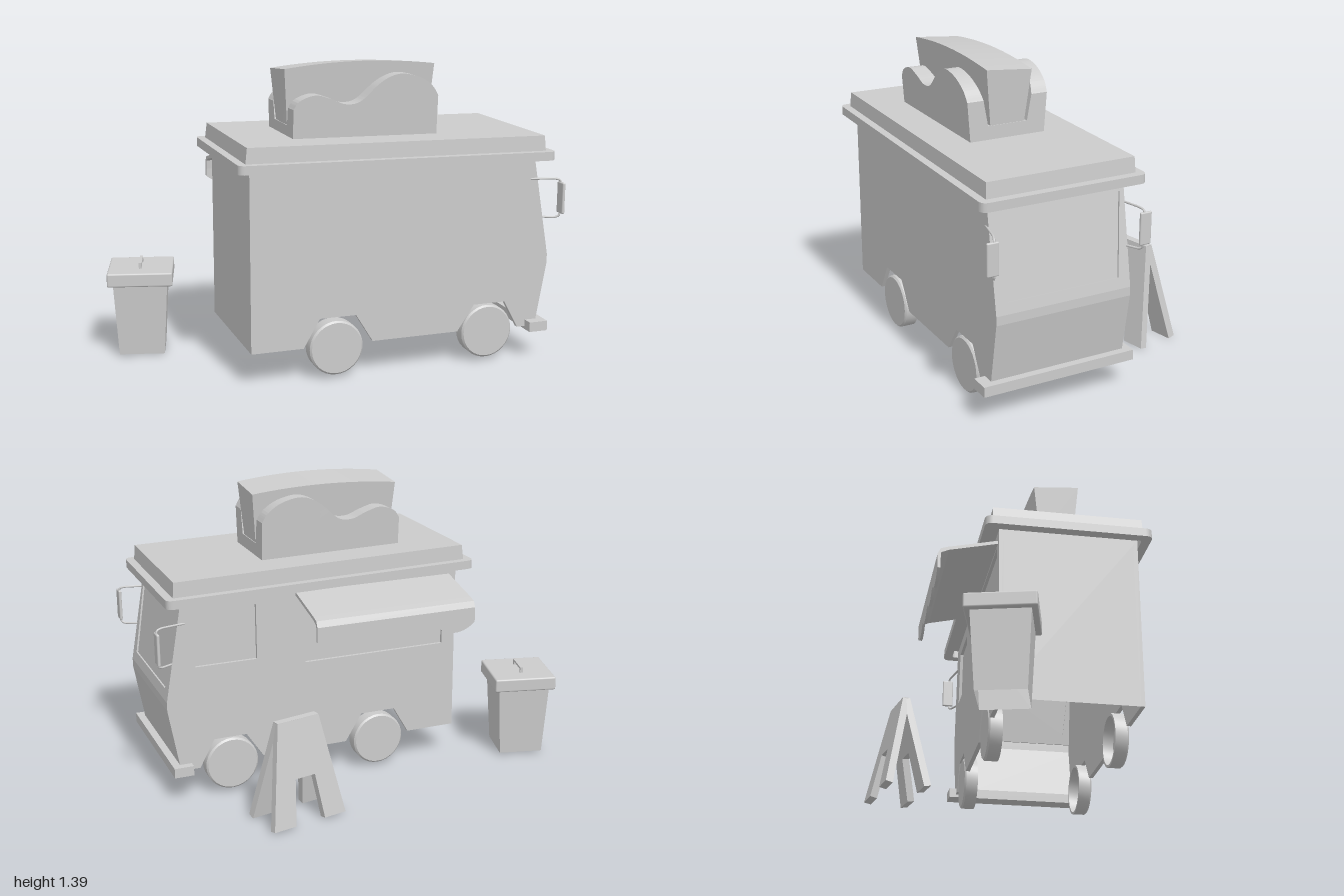
import * as THREE from 'three';
import { toCreasedNormals } from 'three/addons/utils/BufferGeometryUtils.js';
import { RoundedBoxGeometry } from 'three/addons/geometries/RoundedBoxGeometry.js';

const mat = new THREE.MeshStandardMaterial({ color: 0xcccccc, side: THREE.DoubleSide });
const ZC = 0.205, HALF = 0.32; // truck centre line and half width

function add(parent, name, geo, x = 0, y = 0, z = 0) {
  const m = new THREE.Mesh(geo, mat);
  m.name = name;
  m.position.set(x, y, z);
  parent.add(m);
  return m;
}
function group(parent, name, x = 0, y = 0, z = 0) {
  const g = new THREE.Group();
  g.name = name;
  g.position.set(x, y, z);
  parent.add(g);
  return g;
}
const poly = (pts) => new THREE.Shape(pts.map(([x, y]) => new THREE.Vector2(x, y)));
const extrude = (shape, depth) =>
  new THREE.ExtrudeGeometry(shape, { depth, bevelEnabled: false, curveSegments: 16 });

// Move every vertex by a rule
function bend(geo, rule) {
  const p = geo.attributes.position, v = new THREE.Vector3();
  for (let i = 0; i < p.count; i++) {
    v.fromBufferAttribute(p, i);
    rule(v);
    p.setXYZ(i, v.x, v.y, v.z);
  }
  geo.computeVertexNormals();
  return toCreasedNormals(geo, 0.5);
}

// Strip of flat panels following an x/y outline, spanning z0 to z1
function strip(pts, z0, z1) {
  const pos = [];
  for (let i = 0; i < pts.length - 1; i++) {
    const [a, b] = [pts[i], pts[i + 1]];
    pos.push(...a, z0, ...a, z1, ...b, z1, ...a, z0, ...b, z1, ...b, z0);
  }
  const g = new THREE.BufferGeometry();
  g.setAttribute('position', new THREE.Float32BufferAttribute(pos, 3));
  g.computeVertexNormals();
  return g;
}

function roundedRect(w, h, r) {
  const s = new THREE.Shape(), x = w / 2, y = h / 2;
  s.moveTo(-x + r, -y);
  s.lineTo(x - r, -y); s.quadraticCurveTo(x, -y, x, -y + r);
  s.lineTo(x, y - r); s.quadraticCurveTo(x, y, x - r, y);
  s.lineTo(-x + r, y); s.quadraticCurveTo(-x, y, -x, y - r);
  s.lineTo(-x, -y + r); s.quadraticCurveTo(-x, -y, -x + r, -y);
  return s;
}

function buildBody(root) {
  const g = group(root, 'body');
  const side = [[-0.475, 0.15], [-0.235, 0.15], [-0.16, 0.28], [0.01, 0.28], [0.09, 0.15],
    [0.505, 0.15], [0.585, 0.27], [0.74, 0.27], [0.81, 0.14], [0.9, 0.14],
    [0.952, 0.44], [0.952, 0.48], [0.87, 0.945], [-0.475, 0.965]];
  const cabWindow = [[0.525, 0.63], [0.815, 0.63], [0.77, 0.89], [0.525, 0.89]];
  const hatch = [[-0.41, 0.58], [0.29, 0.58], [0.29, 0.9], [-0.41, 0.9]];
  add(g, 'plainSide', extrude(poly(side), 0.02), 0, 0, ZC + HALF - 0.02);
  const cut = poly(side);
  cut.holes.push(poly(cabWindow), poly(hatch));
  add(g, 'servingSide', extrude(cut, 0.02), 0, 0, ZC - HALF);
  add(g, 'cabWindow', new THREE.ShapeGeometry(poly(cabWindow)), 0, 0, ZC - HALF + 0.015);
  add(g, 'servingHatch', new THREE.ShapeGeometry(poly(hatch)), 0, 0, ZC - HALF + 0.015);
  const z0 = ZC - HALF, z1 = ZC + HALF;
  add(g, 'backAndCeiling', strip([side[0], side[13], side[12]], z0, z1));
  add(g, 'nose', strip(side.slice(9, 12), z0, z1));

  // Leaning front wall with the windscreen set in
  const front = group(g, 'frontWall', 0.952, 0.48, ZC);
  front.rotation.z = Math.atan2(0.082, 0.465);
  const wall = poly([[-HALF, 0], [HALF, 0], [HALF, 0.472], [-HALF, 0.472]]);
  const glass = [[-0.265, 0.05], [0.265, 0.05], [0.298, 0.416], [-0.298, 0.416]];
  wall.holes.push(poly(glass));
  add(front, 'windscreenFrame', extrude(wall, 0.012), -0.012).rotation.y = Math.PI / 2;
  add(front, 'windscreen', new THREE.ShapeGeometry(poly(glass)), -0.008).rotation.y = Math.PI / 2;
  add(g, 'bumper', new THREE.BoxGeometry(0.09, 0.046, 0.725), 0.895, 0.148, 0.212);
}

function buildRoof(root) {
  const g = group(root, 'roof', 0.207, 0.985, 0.2);
  g.rotation.z = -0.018;
  const ring = roundedRect(1.485, 0.77, 0.035);
  ring.holes.push(roundedRect(1.4, 0.685, 0.02));
  add(g, 'roofRim', extrude(ring, 0.04)).rotation.x = Math.PI / 2;
  const slab = new THREE.BoxGeometry(1.41, 0.07, 0.697);
  add(g, 'roofSlab', bend(slab, (v) => {
    if (v.y > 0) { v.x *= 0.99; v.z *= 0.99; }
  }), 0, 0.034, 0);
}

function buildSign(root) {
  const g = group(root, 'roofSign', 0.105, 0, 0.2);
  // Wavy cheeks, leaning slightly outwards
  const wave = new THREE.Shape();
  wave.moveTo(-0.34, 1.04);
  wave.lineTo(-0.34, 1.19);
  wave.splineThru([[-0.31, 1.228], [-0.24, 1.25], [-0.17, 1.232], [-0.1, 1.205], [-0.03, 1.215],
    [0.05, 1.285], [0.11, 1.32], [0.17, 1.33], [0.25, 1.31], [0.31, 1.27], [0.34, 1.225]]
    .map(([x, y]) => new THREE.Vector2(x, y)));
  wave.lineTo(0.34, 1.04);
  for (const s of [1, -1]) {
    const geo = bend(new THREE.ExtrudeGeometry(wave, { depth: 1, bevelEnabled: false, curveSegments: 40 }), (v) => {
      const t = (v.y - 1.06) / 0.27;
      v.z = v.z > 0.5 ? 0.18 + 0.02 * t : 0.085 + 0.05 * t;
    });
    add(g, 'wavyCheek', geo).scale.z = s;
  }
  add(g, 'signBase', new THREE.BoxGeometry(0.68, 0.07, 0.34), 0, 1.075, 0);

  // Tall wedge with an arched, slightly tilted top
  const wedge = new THREE.Shape();
  wedge.moveTo(-0.335, 1.09);
  wedge.lineTo(0.335, 1.09);
  wedge.lineTo(0.355, 1.35);
  wedge.quadraticCurveTo(0, 1.395, -0.355, 1.35);
  add(g, 'signWedge', bend(extrude(wedge, 1), (v) => {
    const t = (v.y - 1.09) / 0.27;
    v.z = (v.z - 0.5) * 2 * (0.08 + 0.029 * t);
    v.y += 0.09 * t * v.z;
  }));
}

function buildAwning(root) {
  const g = group(root, 'awning', -0.44, 0, 0);
  const profile = poly([[0.11, 0.925], [0.34, 0.872], [0.372, 0.862], [0.386, 0.835], [0.386, 0.8],
    [0.373, 0.8], [0.37, 0.842], [0.335, 0.857], [0.11, 0.909]]);
  add(g, 'awningTop', extrude(profile, 0.775)).rotation.y = Math.PI / 2;
  const val = new THREE.Shape(), n = 4, w = 0.775 / n;
  val.moveTo(0, 0.81);
  val.lineTo(0, 0.765);
  for (let i = 0; i < n; i++) val.quadraticCurveTo((i + 0.5) * w, 0.685, (i + 1) * w, 0.765);
  val.lineTo(0.775, 0.81);
  add(g, 'scallopedEdge', extrude(val, 0.013), 0, 0, -0.386);
}

function buildWheels(root) {
  const pts = [[0, 0.065], [0.117, 0.065], [0.125, 0.057], [0.125, 0], [0.113, 0], [0.113, 0.05], [0, 0.05]];
  const geo = toCreasedNormals(
    new THREE.LatheGeometry(pts.map(([x, y]) => new THREE.Vector2(x, y)), 32), 0.5);
  for (const x of [-0.08, 0.655]) for (const s of [1, -1])
    add(root, 'wheel', geo, x, 0.135, ZC + s * 0.255).rotation.x = s * Math.PI / 2;
}

function buildMirrors(root) {
  const path = new THREE.CatmullRomCurve3([[0.85, 0.84, 0.315], [0.96, 0.84, 0.34], [0.985, 0.835, 0.348],
    [0.992, 0.82, 0.35], [0.992, 0.68, 0.35], [0.985, 0.664, 0.348], [0.97, 0.658, 0.34],
    [0.92, 0.658, 0.315]].map((p) => new THREE.Vector3(...p)), false, 'catmullrom', 0.2);
  for (const s of [1, -1]) {
    const g = group(root, 'wingMirror', 0, 0, ZC);
    g.scale.z = s;
    add(g, 'mirrorArm', new THREE.TubeGeometry(path, 48, 0.005, 8));
    add(g, 'mirrorPlate', new RoundedBoxGeometry(0.014, 0.145, 0.055, 3, 0.006), 0.992, 0.752, 0.357);
  }
}

function buildBin(root) {
  const g = group(root, 'wasteBin', -0.817, 0, -0.155);
  g.rotation.y = -0.25;
  // Tapered four-sided bucket, open underneath
  const bucket = new THREE.CylinderGeometry(0.25 / Math.SQRT2, 0.21 / Math.SQRT2, 0.35, 4, 1, true, Math.PI / 4);
  add(g, 'bucket', toCreasedNormals(bucket, 0.3), 0, 0.176, 0);
  add(g, 'lid', new RoundedBoxGeometry(0.3, 0.065, 0.3, 2, 0.008), 0, 0.372, 0);
  add(g, 'lidHandle', new THREE.BoxGeometry(0.014, 0.01, 0.13), 0, 0.427, 0);
  for (const z of [-0.058, 0.058]) add(g, 'handlePost', new THREE.BoxGeometry(0.014, 0.03, 0.014), 0, 0.415, z);
}

function buildBoard(root) {
  const g = group(root, 'standingBoard', 0.465, 0, -0.452);
  g.rotation.y = 0.205;
  const panel = poly([[-0.185, -0.468], [-0.075, -0.468], [-0.05, -0.26], [0.05, -0.26], [0.075, -0.468],
    [0.185, -0.468], [0.105, 0], [-0.105, 0]]);
  for (const s of [1, -1]) {
    const half = group(g, 'boardPanel', 0, 0.46, s * 0.018);
    half.scale.z = s;
    add(half, 'panel', extrude(panel, 0.035), 0, 0, -0.035).rotation.x = 0;
    half.rotation.x = -s * 0.2;
  }
  add(g, 'boardRidge', new THREE.BoxGeometry(0.21, 0.03, 0.036), 0, 0.446, 0);
}

export function createModel() {
  const root = new THREE.Group();
  root.name = 'foodTruckScene';
  [buildBody, buildRoof, buildSign, buildAwning, buildWheels, buildMirrors, buildBin, buildBoard]
    .forEach((build) => build(root));
  return root;
}
